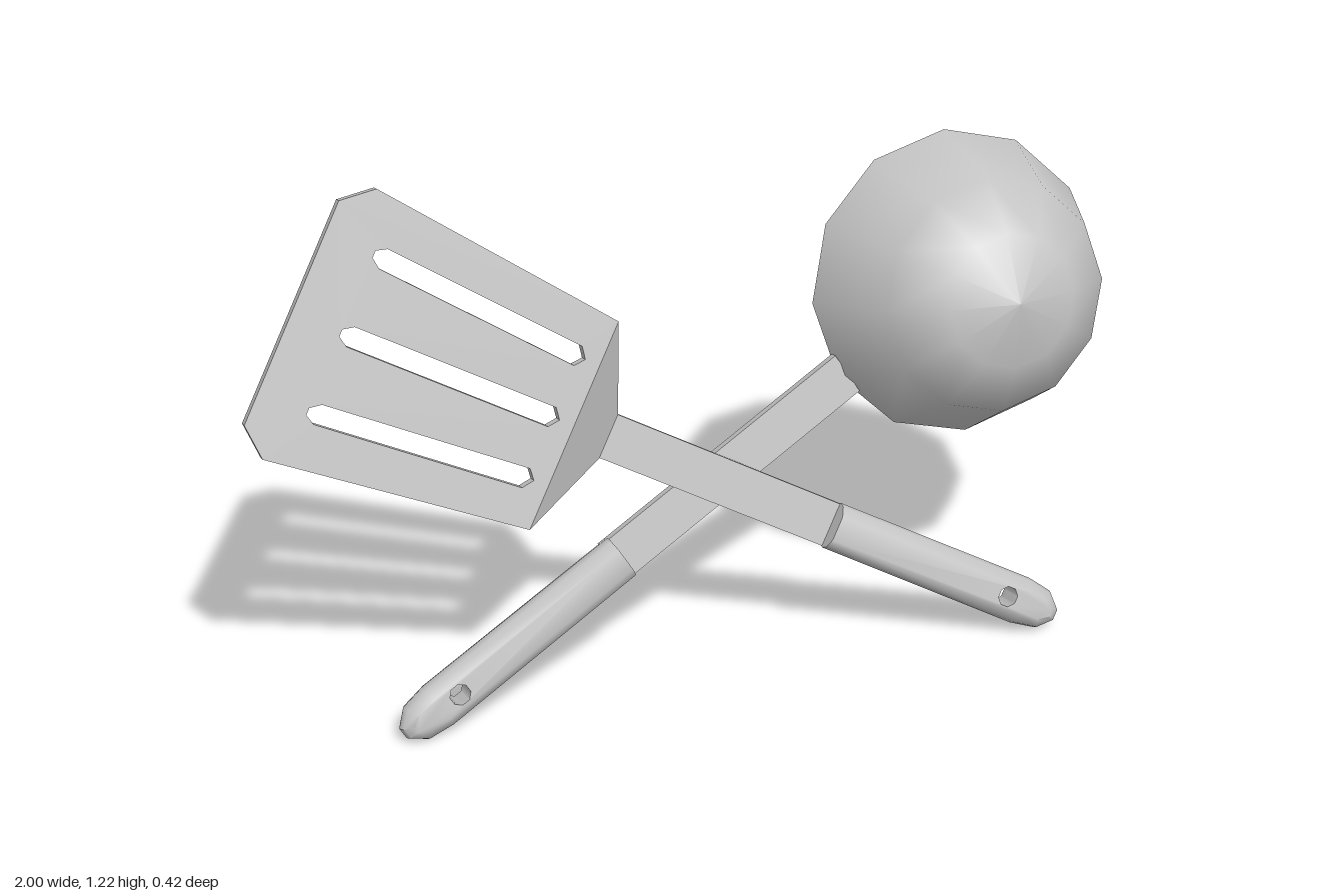
import * as THREE from 'three';
import { toCreasedNormals } from 'three/addons/utils/BufferGeometryUtils.js';

// Each utensil is built along +x with its hanging hole at the origin, front facing +z.
export function createModel() {
  const metal = new THREE.MeshStandardMaterial({ color: 0xc4c4c4 });
  metal.name = 'greyMetal';

  const add = (parent, name, geometry, z = 0) => {
    const mesh = new THREE.Mesh(geometry, metal);
    mesh.name = name;
    mesh.position.z = z;
    parent.add(mesh);
    return mesh;
  };
  const points = (list) => list.map(([x, y]) => new THREE.Vector2(x, y));

  // Rounded grip with a tapered end and a hole right through it
  function handleGeometry() {
    const side = [[0.463, 0.054], [-0.05, 0.056], [-0.113, 0.046], [-0.147, 0.014]];
    const mirrored = side.map(([x, y]) => [x, -y]).reverse();
    const shape = new THREE.Shape(points([...side, ...mirrored]));
    const hole = new THREE.Path();
    const rim = [];
    for (let i = 0; i < 8; i++) {
      const a = -(i + 0.5) * Math.PI / 4;
      rim.push([0.024 * Math.cos(a), 0.024 * Math.sin(a)]);
    }
    hole.setFromPoints(points(rim));
    shape.holes.push(hole);
    const geo = new THREE.ExtrudeGeometry(shape, { depth: 0.072, steps: 4, bevelEnabled: false });
    geo.translate(0, 0, -0.036);
    // Narrow the outline towards the front and back faces
    const p = geo.attributes.position;
    for (let i = 0; i < p.count; i++) {
      const x = p.getX(i), y = p.getY(i);
      if (Math.hypot(x, y) < 0.03) continue;
      const f = Math.sqrt(1 - (p.getZ(i) / 0.042) ** 2);
      p.setY(i, y * f);
      if (x < -0.05) p.setX(i, -0.05 + (x + 0.05) * (0.4 + 0.6 * f));
    }
    return toCreasedNormals(geo, 0.8);
  }

  // Flat bar running from inside the handle to the working end
  function strapGeometry(end) {
    const start = 0.44;
    return new THREE.BoxGeometry(end - start, 0.102, 0.022).translate((start + end) / 2, 0, 0);
  }

  function makeUtensil(name, x, y, angle) {
    const group = new THREE.Group();
    group.name = name;
    group.position.set(x, y, 0);
    group.rotation.z = angle;
    return group;
  }

  // Ladle
  const ladle = makeUtensil('ladle', -0.595, 0.085, Math.PI / 6);
  add(ladle, 'ladleHandle', handleGeometry(), 0.109);
  add(ladle, 'ladleStrap', strapGeometry(1.113), 0.101);
  const outer = [[0, -0.344], [0.148, -0.3], [0.259, -0.217], [0.345, 0]];
  const inner = outer.map(([r, h]) => [r * 0.914, h * 0.914]).reverse();
  const bowl = new THREE.Group();
  bowl.name = 'bowl';
  bowl.position.set(1.441, 0, 0.088);
  ladle.add(bowl);
  const profiles = { bowlOutside: outer, bowlRim: [outer[3], inner[0]], bowlInside: inner };
  for (const [name, profile] of Object.entries(profiles)) {
    add(bowl, name, new THREE.LatheGeometry(points(profile), 12).rotateX(-Math.PI / 2));
  }

  // Slotted turner
  const turner = makeUtensil('turner', 0.69, 0.08, Math.PI * 5 / 6);
  add(turner, 'turnerHandle', handleGeometry(), 0.146);
  add(turner, 'turnerStrap', strapGeometry(1.036), 0.131);

  // Neck flares and steps forward from the strap to the blade
  const neck = new THREE.BoxGeometry(1, 1, 1);
  const np = neck.attributes.position;
  for (let i = 0; i < np.count; i++) {
    const far = np.getX(i) > 0, y = np.getY(i), z = np.getZ(i);
    if (far) np.setXYZ(i, 1.152, y * 0.48, 0.228 + z * 0.025);
    else np.setXYZ(i, 1.034, y * 0.104, 0.131 + z * 0.022);
  }
  add(turner, 'turnerNeck', toCreasedNormals(neck, 0.3));

  // Blade with clipped corners and three slots that fan out
  const blade = new THREE.Shape(points([
    [1.152, -0.24], [1.745, -0.3], [1.808, -0.248],
    [1.808, 0.248], [1.745, 0.3], [1.152, 0.24],
  ]));
  for (const k of [-1, 0, 1]) {
    const slot = [[1.187, 0], [1.205, 0.022], [1.675, 0.022], [1.697, 0.008],
      [1.697, -0.008], [1.675, -0.022], [1.205, -0.022]];
    const path = new THREE.Path();
    path.setFromPoints(points(slot.map(([x, y]) => [x, y + k * (0.139 + (x - 1.187) * 0.07)])));
    blade.holes.push(path);
  }
  add(turner, 'turnerBlade',
    new THREE.ExtrudeGeometry(blade, { depth: 0.025, bevelEnabled: false }), 0.2155);

  // The crossed pair leans back
  const pair = new THREE.Group();
  pair.name = 'crossedUtensils';
  pair.rotation.x = -THREE.MathUtils.degToRad(15);
  pair.add(ladle, turner);
  const model = new THREE.Group();
  model.name = 'kitchenUtensils';
  model.add(pair);
  return model;
}
